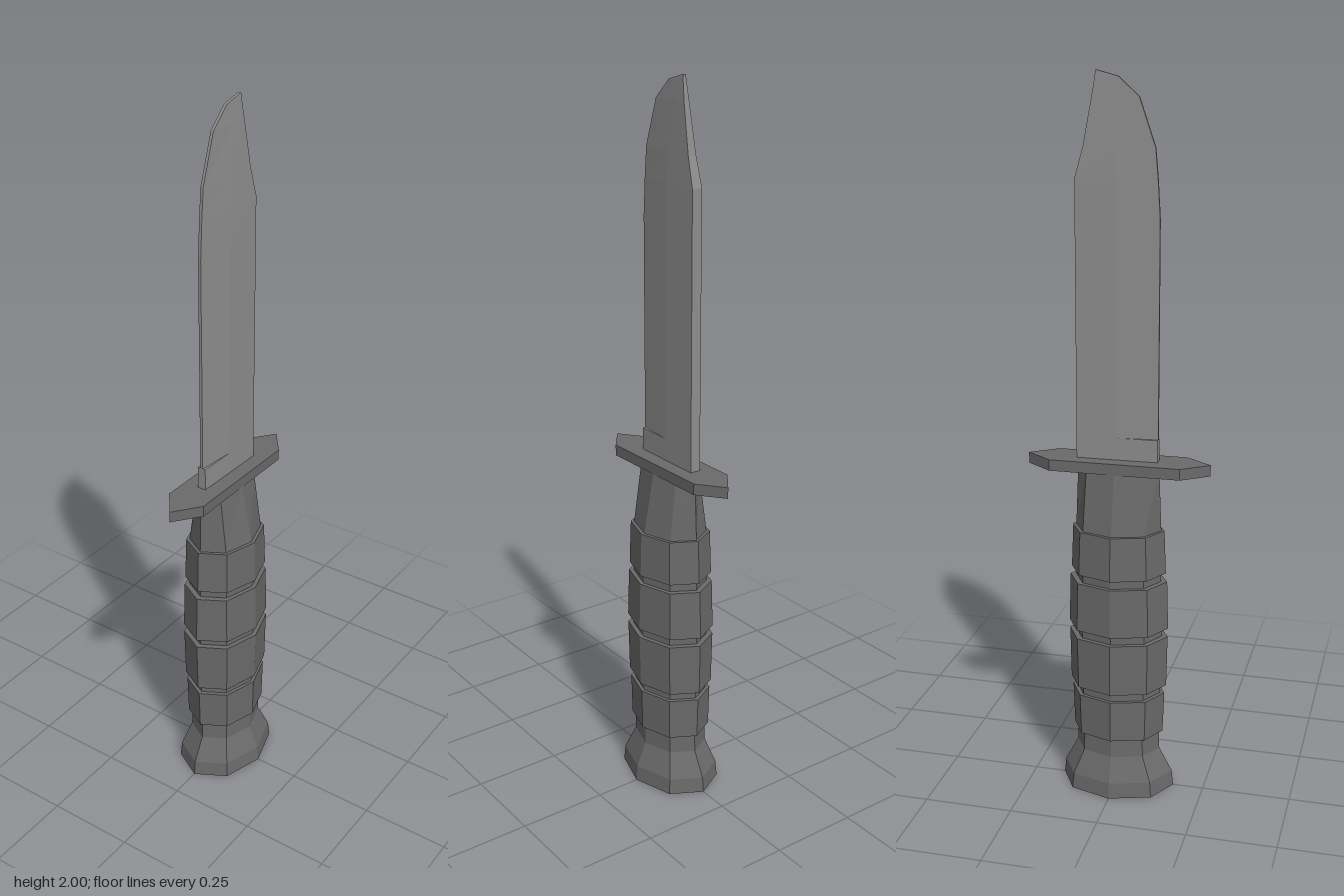
import * as THREE from 'three';

// Skins a stack of equal-sized rings (points run from +x towards +z) and caps both ends
function loft(name, rings, color) {
  const pos = [];
  const tri = (...pts) => pts.forEach((p) => pos.push(...p));
  const n = rings[0].length;
  const centre = (ring) => [0, 1, 2].map((k) => ring.reduce((s, p) => s + p[k], 0) / n);
  const first = rings[0];
  const last = rings[rings.length - 1];
  for (let j = 0; j < n; j++) {
    const k = (j + 1) % n;
    for (let i = 0; i < rings.length - 1; i++) {
      const [lo, hi] = [rings[i], rings[i + 1]];
      tri(lo[j], hi[j], lo[k]);
      tri(lo[k], hi[j], hi[k]);
    }
    tri(centre(first), first[j], first[k]);
    tri(centre(last), last[k], last[j]);
  }
  const geometry = new THREE.BufferGeometry();
  geometry.setAttribute('position', new THREE.Float32BufferAttribute(pos, 3));
  geometry.computeVertexNormals();
  const mesh = new THREE.Mesh(geometry, new THREE.MeshStandardMaterial({ color, flatShading: true }));
  mesh.name = name;
  return mesh;
}

// Eight-sided oval with corners on the axes
const oval = ([y, rx, rz]) => Array.from({ length: 8 }, (_, i) => {
  const a = (i * Math.PI) / 4;
  return [rx * Math.cos(a), y, rz * Math.sin(a)];
});

export function createModel() {
  const group = new THREE.Group();
  group.name = 'knife';
  const darkGrey = 0x6a6a6a;
  const steel = 0x8d8d8d;

  // Handle: flared pommel, four raised grip bands with grooves, tapered neck [y, rx, rz]
  const handle = [
    [0, 0.121, 0.163], [0.045, 0.117, 0.158], [0.115, 0.089, 0.121], [0.17, 0.087, 0.119],
    [0.17, 0.098, 0.13], [0.29, 0.1, 0.134],
    [0.29, 0.09, 0.122], [0.315, 0.09, 0.122],
    [0.315, 0.103, 0.139], [0.465, 0.106, 0.142],
    [0.465, 0.093, 0.125], [0.49, 0.093, 0.125],
    [0.49, 0.106, 0.143], [0.63, 0.102, 0.139],
    [0.63, 0.09, 0.122], [0.655, 0.09, 0.122],
    [0.655, 0.101, 0.135], [0.78, 0.097, 0.13],
    [0.78, 0.087, 0.121], [0.955, 0.055, 0.114],
  ];
  group.add(loft('handle', handle.map(oval), darkGrey));

  // Guard: flat plate with pointed ends
  const plate = (y) => [
    [0.056, y, -0.181], [0.056, y, 0.181], [0, y, 0.255],
    [-0.056, y, 0.181], [-0.056, y, -0.181], [0, y, -0.255],
  ];
  group.add(loft('guard', [plate(0.947), plate(0.978)], darkGrey));

  // Blade: blunt base, then a bevelled edge up to a clipped tip
  // [y, back z, ridge z, front z, spine half width, ridge half width, edge half width]
  const blade = [
    [0.97, -0.114, 0, 0.111, 0.015, 0.014, 0.012],
    [1.04, -0.114, 0, 0.111, 0.015, 0.014, 0.012],
    [1.04, -0.114, 0, 0.111, 0.015, 0.014, 0.004],
    [1.63, -0.114, 0, 0.111, 0.015, 0.014, 0.004],
    [1.73, -0.114, 0, 0.105, 0.015, 0.013, 0.004],
    [1.81, -0.092, -0.01, 0.098, 0.012, 0.011, 0.004],
    [1.935, -0.069, -0.03, 0.055, 0.008, 0.007, 0.004],
    [1.985, -0.061, -0.045, 0, 0.005, 0.005, 0.004],
    [2, -0.06, -0.059, -0.057, 0.004, 0.004, 0.004],
  ];
  group.add(loft('blade', blade.map(([y, back, ridge, front, ws, wr, we]) => [
    [wr, y, ridge], [we, y, front], [-we, y, front],
    [-wr, y, ridge], [-ws, y, back], [ws, y, back],
  ]), steel));

  return group;
}
